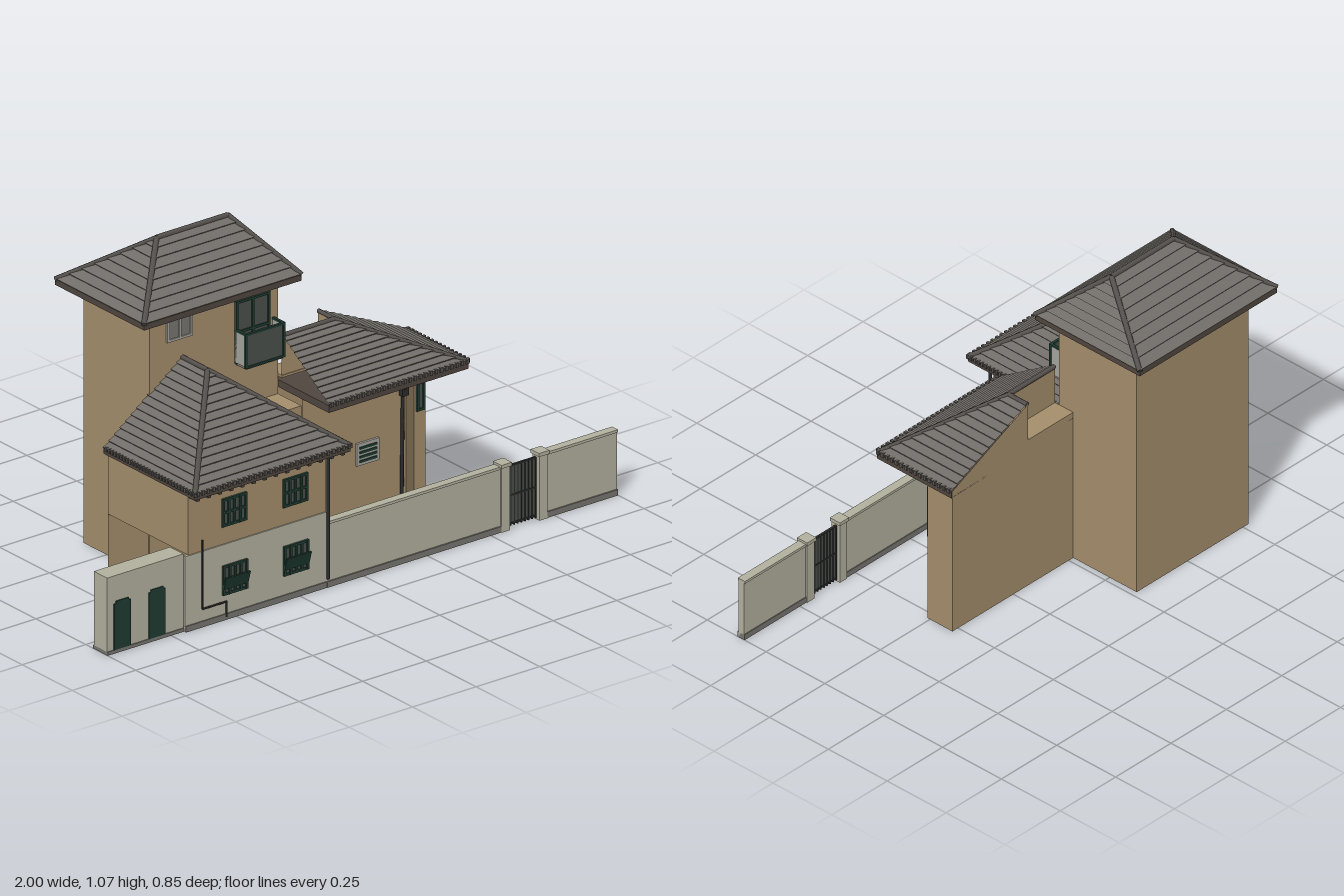
import * as THREE from 'three';

const mat = (name, color, side = THREE.FrontSide) => {
  const m = new THREE.MeshStandardMaterial({ color, side });
  m.name = name;
  return m;
};

export function createModel() {
  const model = new THREE.Group();
  model.name = 'house';
  const ochre = mat('ochre plaster', 0xa48e6c, THREE.DoubleSide);
  const cream = mat('cream plaster', 0xb2b09e);
  const tile = mat('roof tile', 0x716d68, THREE.DoubleSide);
  const cap = mat('ridge tile', 0x56524e);
  const fascia = mat('eaves', 0x50463f);
  const green = mat('dark green paint', 0x1f3a31);
  const glass = mat('glass', 0x4a504c);
  const iron = mat('iron', 0x2b2b2b);
  const stone = mat('plinth stone', 0x77756f);
  const pale = mat('pale frame', 0xa5a39c);

  const add = (name, geo, m, parent = model) => {
    const mesh = new THREE.Mesh(geo, m);
    mesh.name = name;
    parent.add(mesh);
    return mesh;
  };
  const box = (name, m, x0, x1, y0, y1, z0, z1, parent) => {
    const b = add(name, new THREE.BoxGeometry(x1 - x0, y1 - y0, z1 - z0), m, parent);
    b.position.set((x0 + x1) / 2, (y0 + y1) / 2, (z0 + z1) / 2);
    return b;
  };
  const V = (x, y, z) => new THREE.Vector3(x, y, z);
  // Round bar between two points
  const bar = (name, m, a, b, r, parent) => {
    const d = b.clone().sub(a);
    const c = add(name, new THREE.CylinderGeometry(r, r, d.length(), 6), m, parent);
    c.position.copy(a).add(b).multiplyScalar(0.5);
    c.quaternion.setFromUnitVectors(V(0, 1, 0), d.normalize());
    return c;
  };
  // Flat outline in x-y, placed at depth z
  const sheet = (name, m, pts, z) => {
    const s = new THREE.Shape(pts.map(p => new THREE.Vector2(...p)));
    add(name, new THREE.ShapeGeometry(s), m).position.z = z;
  };
  // Straight upright wall between two plan points (x, z)
  const wall = (name, m, a, b, y0, y1) => {
    const [dx, dz] = [b[0] - a[0], b[1] - a[1]];
    const w = add(name, new THREE.PlaneGeometry(Math.hypot(dx, dz), y1 - y0), m);
    w.position.set((a[0] + b[0]) / 2, (y0 + y1) / 2, (a[1] + b[1]) / 2);
    w.rotation.y = Math.atan2(-dz, dx);
  };
  // Roof slope of overlapping courses: eave a-b, top d-c
  const slope = (parent, a, b, c, d, n, lift) => {
    const up = b.clone().sub(a).cross(d.clone().sub(a)).normalize();
    if (up.y < 0) up.negate();
    up.multiplyScalar(lift);
    const pos = [];
    const quad = (p, q, r, s) => [p, q, r, p, r, s].forEach(v => pos.push(v.x, v.y, v.z));
    for (let i = 0; i < n; i++) {
      const l0 = a.clone().lerp(d, i / n), r0 = b.clone().lerp(c, i / n);
      const l1 = a.clone().lerp(d, (i + 1) / n), r1 = b.clone().lerp(c, (i + 1) / n);
      const lu = l0.clone().add(up), ru = r0.clone().add(up);
      quad(l0, r0, ru, lu);
      quad(lu, ru, r1, l1);
    }
    const g = new THREE.BufferGeometry();
    g.setAttribute('position', new THREE.Float32BufferAttribute(pos, 3));
    g.computeVertexNormals();
    add('tileSlope', g, tile, parent);
  };
  const roof = name => {
    const g = new THREE.Group();
    g.name = name;
    model.add(g);
    return g;
  };
  // Glazed window facing front
  const windowAt = (name, x0, x1, y0, y1, z, cols, rows, frame = green, pane = glass) => {
    const g = roof(name), t = 0.008;
    box('pane', pane, x0, x1, y0, y1, z, z + 0.003, g);
    for (let i = 0; i <= cols; i++) {
      const x = x0 + (x1 - x0 - t) * i / cols;
      box('upright', frame, x, x + t, y0, y1, z, z + 0.008, g);
    }
    for (let i = 0; i <= rows; i++) {
      const y = y0 + (y1 - y0 - t) * i / rows;
      box('crossbar', frame, x0, x1, y, y + t, z, z + 0.0075, g);
    }
  };

  // Tower
  box('tower', ochre, -0.525, -0.02, 0, 0.875, -0.365, -0.035);
  {
    const g = roof('towerRoof'), y = 0.89, [l, r, f, k] = [-0.59, 0.03, 0.02, -0.425];
    const A = V(l, y, f), B = V(r, y, f), C = V(r, y, k), D = V(l, y, k);
    const P = V(-0.385, 1.06, -0.178), Q = V(-0.105, 1.06, -0.178);
    slope(g, A, B, Q, P, 8, 0.006);
    slope(g, C, D, P, Q, 8, 0.006);
    slope(g, B, C, Q, Q, 8, 0.006);
    slope(g, D, A, P, P, 8, 0.006);
    [[A, P], [D, P], [B, Q], [C, Q], [P, Q]].forEach(e => bar('ridgeCap', cap, ...e, 0.009, g));
    box('eaves', fascia, l, r, 0.87, y, k, f, g);
    for (let i = 0; i < 11; i++) {
      const x = -0.56 + i * 0.056;
      for (const z of [0, -0.4]) box('rafterEnd', fascia, x, x + 0.012, 0.86, 0.87, z - 0.035 * (z === 0), z + 0.035 * (z !== 0), g);
    }
  }
  windowAt('towerSmallWindow', -0.46, -0.36, 0.775, 0.86, -0.035, 2, 1, pale, stone);
  windowAt('towerDoor', -0.19, -0.055, 0.63, 0.84, -0.035, 2, 2);
  // Small balcony
  box('balconyFront', glass, -0.185, -0.04, 0.635, 0.74, 0.012, 0.018);
  for (const x of [-0.19, -0.042]) {
    box('balconySide', pale, x, x + 0.006, 0.635, 0.74, -0.035, 0.016);
    box('balconyPost', green, x - 0.001, x + 0.008, 0.63, 0.747, 0.012, 0.021);
    box('balconySideRail', green, x - 0.001, x + 0.008, 0.74, 0.747, -0.035, 0.02);
  }
  for (const y of [0.63, 0.74]) box('balconyRail', green, -0.19, -0.034, y, y + 0.007, 0.012, 0.021);
  box('balconyFloor', stone, -0.185, -0.04, 0.625, 0.635, -0.035, 0.016);

  // Front house: ochre above cream
  const top = 0.255;
  wall('frontHouseUpperFront', ochre, [-0.685, 0.362], [-0.145, 0.362], top, 0.47);
  wall('frontHouseOuterSide', ochre, [-0.685, -0.04], [-0.685, 0.362], top, 0.475);
  wall('frontHouseInnerSide', ochre, [-0.145, 0.362], [-0.145, -0.035], top, 0.475);
  box('frontHouseLowerFront', cream, -0.7, -0.145, 0, top, 0.355, 0.366);
  box('frontHouseLowerSide', cream, -0.155, -0.143, 0, top - 0.005, 0.08, 0.366);
  sheet('frontHouseBack', ochre, [[-0.685, 0], [-0.525, 0], [-0.525, 0.59], [-0.685, 0.48]], -0.04);
  {
    const g = roof('frontHouseRoof'), y = 0.48, [l, r, f, k] = [-0.7, -0.088, 0.415, -0.043];
    const A = V(l, y, f), B = V(r, y, f), C = V(r, y, k), D = V(l, y, k);
    const P = V(-0.395, 0.708, 0.09), Q = V(-0.395, 0.708, k);
    slope(g, A, B, P, P, 14, 0.006);
    slope(g, B, C, Q, P, 14, 0.006);
    slope(g, D, A, P, Q, 14, 0.006);
    [[A, P], [B, P], [P, Q]].forEach(e => bar('ridgeCap', cap, ...e, 0.009, g));
    box('eaves', fascia, l, r, 0.462, y, k, f, g);
    for (let i = 0; i < 14; i++) {
      const x = -0.685 + i * 0.044;
      box('rafterEnd', fascia, x, x + 0.012, 0.45, 0.462, 0.362, 0.405, g);
    }
    for (let i = 0; i < 30; i++) {
      const x = l + 0.005 + i * 0.0205, z = k + 0.01 + i * 0.0153;
      box('tileEnd', cap, x, x + 0.01, 0.474, 0.489, f - 0.005, f + 0.005, g);
      for (const s of [l, r]) box('tileEnd', cap, s - 0.005, s + 0.005, 0.474, 0.489, z, z + 0.008, g);
    }
  }
  for (const x of [-0.555, -0.315]) {
    windowAt('upperWindow', x, x + 0.097, 0.315, 0.41, 0.362, 4, 2);
    windowAt('lowerWindow', x, x + 0.097, 0.085, 0.185, 0.366, 4, 2);
    box('windowBack', green, x, x + 0.097, 0.085, 0.185, 0.352, 0.355);
    box('windowShutter', green, x, x + 0.097, 0.105, 0.15, 0.376, 0.381).rotation.x = 0.28;
  }

  // Link between the two wings
  wall('linkWall', ochre, [-0.145, 0.083], [-0.02, 0.083], 0, 0.48);
  box('linkRoof', ochre, -0.145, -0.02, 0.475, 0.482, -0.035, 0.083);
  windowAt('linkWindow', -0.14, -0.02, 0.3, 0.41, 0.084, 2, 1);
  box('linkSill', cream, -0.143, -0.02, 0.25, 0.3, 0.084, 0.1);

  // Side wing with a cut corner
  const plan = [[-0.02, 0.085], [0.39, 0.085], [0.48, 0.01], [0.525, 0.01], [0.525, -0.095]];
  for (let i = 0; i < 4; i++) wall('sideWingWall', ochre, plan[i], plan[i + 1], 0, 0.51);
  sheet('sideWingBack', ochre, [[-0.02, 0], [0.525, 0], [0.525, 0.53], [0.185, 0.685], [0.185, 0.55], [-0.02, 0.55]], -0.095);
  box('terrace', ochre, -0.02, 0.185, 0.542, 0.55, -0.095, -0.015);
  wall('terraceSide', ochre, [0.185, -0.095], [0.185, -0.015], 0.55, 0.685);
  wall('terraceFront', ochre, [-0.02, -0.018], [0.185, -0.018], 0.55, 0.685);
  {
    const g = roof('sideWingRoof'), y = 0.53, [l, r, f, k] = [-0.02, 0.53, 0.22, -0.095];
    const A = V(l, y, f), B = V(r, y, f), C = V(r, y, k);
    const P = V(l, 0.685, -0.015), Q = V(0.187, 0.685, -0.015), R = V(0.187, 0.685, k);
    slope(g, A, B, Q, P, 12, 0.006);
    slope(g, B, C, R, Q, 12, 0.006);
    [[P, Q], [Q, R], [B, Q]].forEach(e => bar('ridgeCap', cap, ...e, 0.008, g));
    box('eaves', fascia, l, r, 0.505, y, k, f, g);
    for (let i = 0; i < 27; i++) {
      const x = l + 0.005 + i * 0.0205;
      box('tileEnd', cap, x, x + 0.01, 0.524, 0.539, f - 0.005, f + 0.006, g);
      if (i < 16) {
        const z = k + 0.005 + i * 0.02;
        box('tileEnd', cap, r - 0.005, r + 0.006, 0.524, 0.539, z, z + 0.01, g);
      }
    }
  }
  windowAt('cornerWindow', 0.487, 0.518, 0.3, 0.49, 0.011, 1, 2);
  box('vent', pale, 0.19, 0.278, 0.222, 0.297, 0.086, 0.094);
  for (let i = 0; i < 4; i++) box('ventSlat', green, 0.2, 0.268, 0.232 + i * 0.015, 0.24 + i * 0.015, 0.094, 0.097);

  // Pipes
  const run = (name, pts, r) => pts.slice(1).forEach((p, i) => bar(name, iron, V(...pts[i]), V(...p), r));
  run('sideWingDownpipe', [[0.375, 0.5, 0.13], [0.37, 0.42, 0.094], [0.365, 0.02, 0.094]], 0.006);
  box('pipeHopper', iron, 0.36, 0.384, 0.415, 0.445, 0.088, 0.106);
  run('cornerDownpipe', [[-0.142, 0.47, 0.372], [-0.142, 0.03, 0.372]], 0.006);
  run('wallPipe', [[-0.635, 0.295, 0.37], [-0.635, 0.062, 0.37], [-0.54, 0.062, 0.37], [-0.54, 0.01, 0.37]], 0.003);

  // Boundary wall, doors and gate
  box('leftBoundaryWall', cream, -1, -0.7, 0, 0.262, 0.29, 0.357);
  for (const x of [-0.975, -0.838]) {
    box('gardenDoor', green, x, x + 0.065, 0.012, 0.168, 0.286, 0.361);
    box('gardenDoorHead', green, x + 0.008, x + 0.057, 0.168, 0.176, 0.286, 0.361);
  }
  for (const [x0, x1] of [[-0.145, 0.545], [0.715, 1]]) {
    box('rightBoundaryWall', cream, x0, x1, 0, 0.215, 0.344, 0.366);
    box('wallCoping', cream, x0, x1, 0.213, 0.222, 0.34, 0.37);
    box('plinth', stone, x0, x1, 0, 0.02, 0.341, 0.371);
  }
  box('plinth', stone, -1, -0.7, 0, 0.012, 0.287, 0.36);
  box('plinth', stone, -0.7, -0.145, 0, 0.02, 0.352, 0.37);
  box('plinth', stone, -0.157, -0.139, 0, 0.02, 0.083, 0.366);
  for (const x of [0.54, 0.688]) {
    box('gatePost', cream, x, x + 0.033, 0, 0.218, 0.338, 0.373);
    box('gatePostCap', cream, x - 0.004, x + 0.037, 0.218, 0.23, 0.334, 0.377);
  }
  box('gatePanel', glass, 0.573, 0.688, 0.01, 0.205, 0.352, 0.356);
  for (let i = 0; i < 9; i++) box('gateBar', iron, 0.573 + i * 0.0139, 0.577 + i * 0.0139, 0.005, 0.21, 0.35, 0.358);
  for (const y of [0.01, 0.105, 0.205]) box('gateRail', iron, 0.573, 0.688, y, y + 0.006, 0.35, 0.358);

  return model;
}
